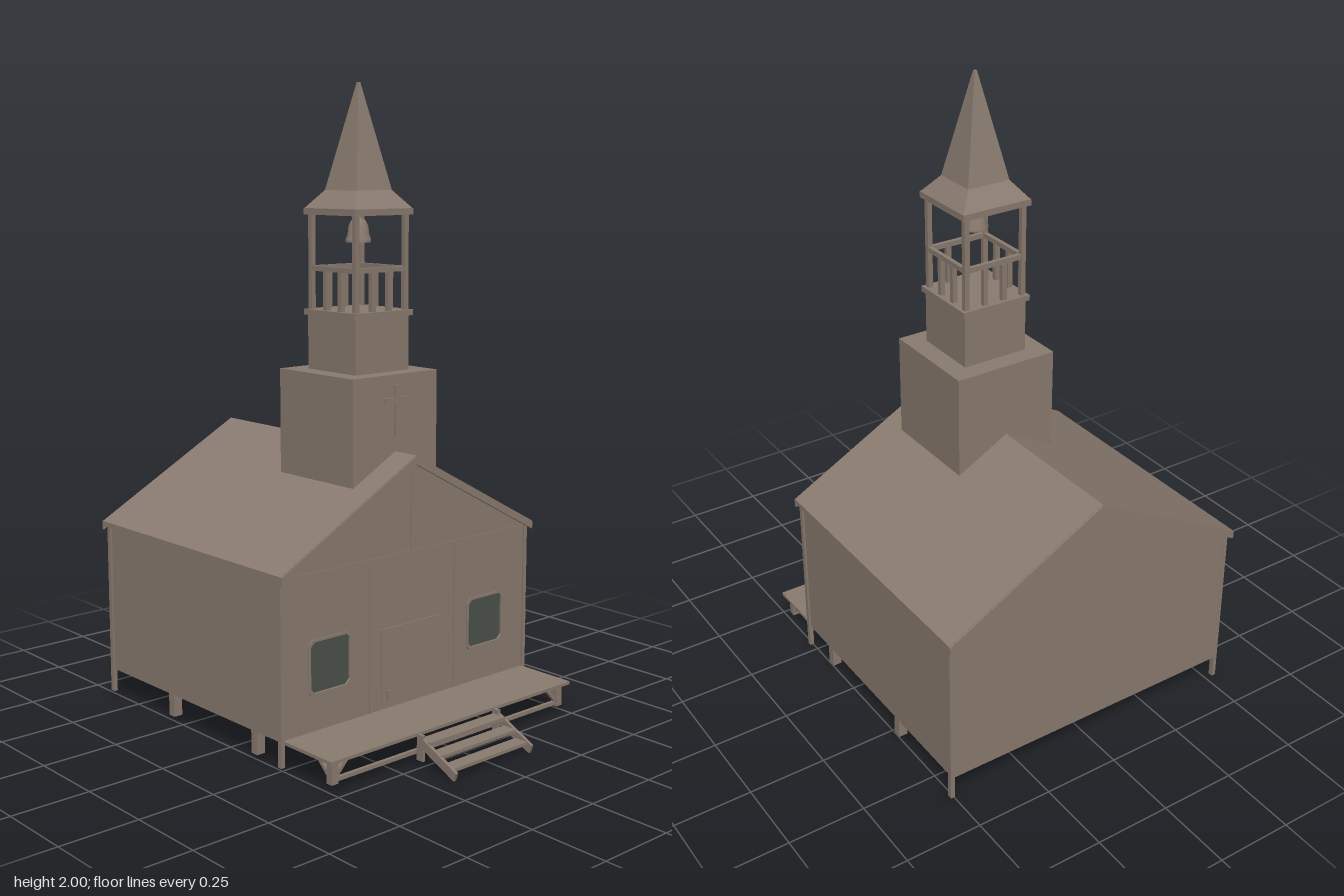
import * as THREE from 'three';

const wood = new THREE.MeshStandardMaterial({ color: 0x8a7b70, side: THREE.DoubleSide });
wood.name = 'weatheredWood';
const glass = new THREE.MeshStandardMaterial({ color: 0x4c524b, side: THREE.DoubleSide });
glass.name = 'darkGlass';

export function createModel() {
  const model = new THREE.Group();
  model.name = 'chapel';

  const add = (name, geometry, material = wood, parent = model) => {
    const mesh = new THREE.Mesh(geometry, material);
    mesh.name = name;
    parent.add(mesh);
    return mesh;
  };
  // Box given by its minimum and maximum corners
  const box = (name, x0, x1, y0, y1, z0, z1, material = wood, parent = model) => {
    const mesh = add(name, new THREE.BoxGeometry(x1 - x0, y1 - y0, z1 - z0), material, parent);
    mesh.position.set((x0 + x1) / 2, (y0 + y1) / 2, (z0 + z1) / 2);
    return mesh;
  };
  // Square bar between two points
  const bar = (name, a, b, size, parent = model) => {
    const from = new THREE.Vector3(...a), to = new THREE.Vector3(...b);
    const mesh = add(name, new THREE.BoxGeometry(size, size, from.distanceTo(to)), wood, parent);
    mesh.position.copy(from).add(to).multiplyScalar(0.5);
    mesh.lookAt(to);
    return mesh;
  };
  const polygon = (points) => new THREE.Shape(points.map(([x, y]) => new THREE.Vector2(x, y)));
  // Outline in x and y, extruded from z0 to z1
  const slab = (name, shape, z0, z1, material = wood, parent = model) => {
    const geometry = new THREE.ExtrudeGeometry(shape, { depth: z1 - z0, bevelEnabled: false });
    return add(name, geometry.translate(0, 0, z0), material, parent);
  };

  // Walls, open underneath
  const gable = () => polygon([[-0.515, 0.095], [0.515, 0.095], [0.515, 0.58], [0, 0.862], [-0.515, 0.58]]);
  const windowPoints = (cx, grow) => {
    const w = 0.078 + grow, y0 = 0.215 - grow, y1 = 0.375 + grow, c = 0.014;
    return [[cx - w + c, y0], [cx + w - c, y0], [cx + w, y0 + c], [cx + w, y1 - c],
      [cx + w - c, y1], [cx - w + c, y1], [cx - w, y1 - c], [cx - w, y0 + c]];
  };
  const front = gable();
  for (const cx of [-0.33, 0.33]) front.holes.push(polygon(windowPoints(cx, 0)));
  slab('frontWall', front, 0.255, 0.267);
  slab('backWall', gable(), -0.627, -0.615);
  for (const s of [-1, 1]) {
    box('sideWall', s * 0.51 - 0.005, s * 0.51 + 0.005, 0.095, 0.585, -0.62, 0.26);
    for (const z of [0.265, -0.62]) {
      box('cornerPost', s * 0.515 - 0.007, s * 0.515 + 0.007, 0.02, 0.58, z - 0.008, z + 0.008);
    }
    for (const z of [0.13, -0.295]) {
      box('sidePier', s * 0.495 - 0.015, s * 0.495 + 0.015, 0.02, 0.1, z - 0.014, z + 0.014);
    }
  }

  // Windows and frames
  for (const cx of [-0.33, 0.33]) {
    slab('windowGlass', polygon(windowPoints(cx, 0)), 0.259, 0.264, glass);
    const frame = polygon(windowPoints(cx, 0.006));
    frame.holes.push(polygon(windowPoints(cx, -0.002)));
    slab('windowFrame', frame, 0.262, 0.271);
  }

  // Door, handle and facade battens
  box('door', -0.125, 0.125, 0.11, 0.355, 0.252, 0.271);
  box('doorHandle', -0.105, -0.097, 0.125, 0.16, 0.27, 0.28);
  for (const x of [-0.17, 0.19]) box('wallBatten', x - 0.003, x + 0.003, 0.1, 0.58, 0.265, 0.27);
  box('gableBatten', -0.003, 0.003, 0.58, 0.85, 0.265, 0.27);
  box('gableSill', -0.515, 0.515, 0.576, 0.583, 0.265, 0.27);

  // Main roof with verge boards
  const chevron = (top, thick) => polygon([[-0.53, top - 0.285], [-0.53, top - 0.285 - thick], [0, top - thick],
    [0.53, top - 0.285 - thick], [0.53, top - 0.285], [0, top]]);
  slab('roof', chevron(0.882, 0.016), -0.64, 0.285);
  for (const z of [-0.645, 0.28]) slab('vergeBoard', chevron(0.88, 0.026), z, z + 0.009);

  // Porch deck and its framing
  box('porchDeck', -0.51, 0.51, 0.09, 0.1, 0.262, 0.48);
  bar('porchBeam', [-0.49, 0.03, 0.45], [0.49, 0.03, 0.45], 0.012);
  for (const s of [-1, 1]) {
    box('porchPost', s * 0.48 - 0.012, s * 0.48 + 0.012, 0.02, 0.092, 0.438, 0.462);
    bar('porchBrace', [s * 0.47, 0.04, 0.45], [s * 0.42, 0.092, 0.45], 0.012);
    bar('porchBrace', [s * 0.48, 0.04, 0.44], [s * 0.48, 0.092, 0.385], 0.012);
  }

  // Front steps
  const steps = new THREE.Group();
  steps.name = 'frontSteps';
  model.add(steps);
  for (const x of [-0.175, 0.147]) {
    const side = polygon([[-0.485, 0.1], [-0.645, 0.026], [-0.636, 0], [-0.485, 0.068]]);
    const stringer = slab('stringer', side, -0.005, 0.005, wood, steps);
    stringer.rotation.y = Math.PI / 2;
    stringer.position.x = x;
    box('stepPost', x - 0.005, x + 0.005, 0.02, 0.1, 0.483, 0.508, wood, steps);
  }
  for (let i = 0; i < 3; i++) {
    const y = 0.08 - i * 0.026, z = 0.487 + i * 0.047;
    box('tread', -0.175, 0.147, y - 0.005, y + 0.005, z, z + 0.047, wood, steps);
  }

  // Tower base astride the ridge
  slab('towerBase', polygon([[-0.175, 0.78], [0, 0.872], [0.175, 0.78], [0.175, 1.12], [-0.175, 1.12]]), -0.15, 0.195);
  box('crossUpright', -0.006, 0.014, 0.93, 1.09, 0.193, 0.203);
  box('crossArm', -0.048, 0.056, 1.032, 1.05, 0.193, 0.203);

  // Belfry, centred on its own axis
  const belfry = new THREE.Group();
  belfry.name = 'belfry';
  belfry.position.z = 0.023;
  model.add(belfry);
  const square = (name, half, y0, y1) => box(name, -half, half, y0, y1, -half, half, wood, belfry);
  square('upperTower', 0.111, 1.115, 1.295);
  square('belfryFloor', 0.12, 1.29, 1.308);
  square('belfryCeiling', 0.12, 1.6, 1.62);
  for (let i = 0; i < 4; i++) {
    const side = new THREE.Group();
    side.name = 'belfrySide';
    side.rotation.y = i * Math.PI / 2;
    belfry.add(side);
    box('belfryPost', 0.094, 0.11, 1.3, 1.605, 0.094, 0.11, wood, side);
    box('railing', -0.1, 0.1, 1.427, 1.443, 0.094, 0.108, wood, side);
    for (const x of [-0.034, 0.034]) {
      box('baluster', x - 0.008, x + 0.008, 1.3, 1.43, 0.093, 0.109, wood, side);
    }
  }

  // Bell
  const profile = [[0.04, 1.515], [0.04, 1.525], [0.034, 1.54], [0.031, 1.565], [0.022, 1.583], [0.008, 1.59], [0.008, 1.605]]
    .map(([r, y]) => new THREE.Vector2(r, y));
  add('bell', new THREE.LatheGeometry(profile, 20), wood, belfry);

  // Flared spire
  const frustum = (name, low, high, y0, y1) => {
    const geometry = new THREE.CylinderGeometry(high * Math.SQRT2, low * Math.SQRT2, y1 - y0, 4).toNonIndexed();
    geometry.computeVertexNormals();
    const mesh = add(name, geometry.rotateY(Math.PI / 4), wood, belfry);
    mesh.position.y = (y0 + y1) / 2;
  };
  frustum('spireFlare', 0.118, 0.073, 1.62, 1.675);
  frustum('spire', 0.073, 0.004, 1.675, 2);

  return model;
}
